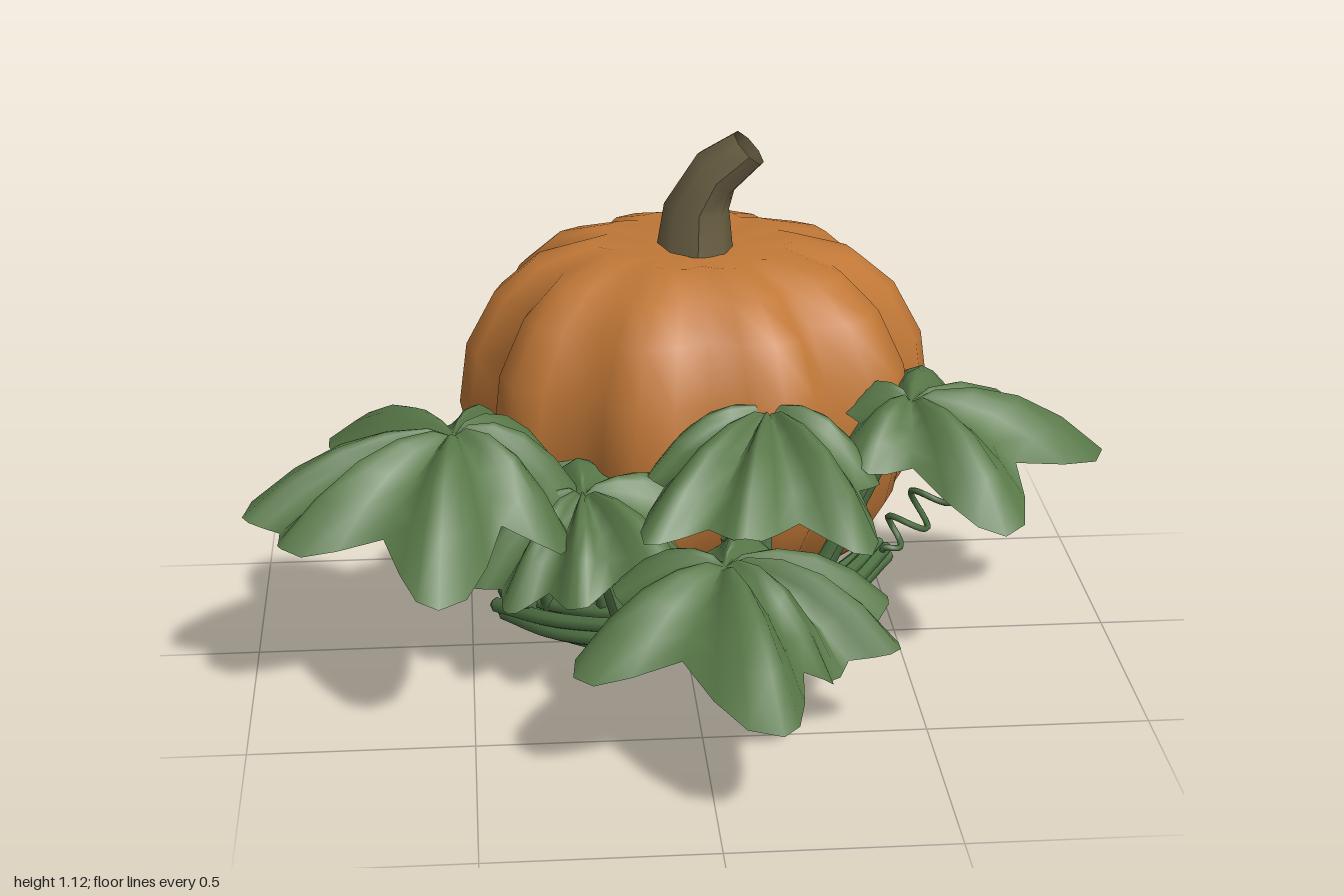
import * as THREE from 'three';
import { mergeVertices } from 'three/addons/utils/BufferGeometryUtils.js';

const V = (p) => new THREE.Vector3(...p);
const curveOf = (pts) => new THREE.CatmullRomCurve3(pts.map(V));

// Pumpkin: lathe profile squeezed into ten ribs
function pumpkinGeometry() {
  const profile = [[0, 0.02], [0.08, 0.006], [0.2, 0.008], [0.34, 0.05], [0.45, 0.13], [0.535, 0.27], [0.575, 0.45],
    [0.555, 0.6], [0.485, 0.73], [0.39, 0.81], [0.25, 0.85], [0, 0.82]];
  let g = new THREE.LatheGeometry(profile.map((p) => new THREE.Vector2(...p)), 40);
  g.deleteAttribute('uv');
  g.deleteAttribute('normal');
  const pos = g.attributes.position;
  for (let i = 0; i < pos.count; i++) {
    const x = pos.getX(i), z = pos.getZ(i);
    const rib = 0.86 + 0.14 * Math.pow(Math.abs(Math.cos(5 * Math.atan2(z, x))), 0.7);
    pos.setX(i, x * rib);
    pos.setZ(i, z * rib * 0.92);
  }
  g = mergeVertices(g, 1e-4);
  g.computeVertexNormals();
  return g;
}

// Tube whose radius changes from r0 to r1
function taperedTube(curve, r0, r1, segments, sides) {
  const g = new THREE.TubeGeometry(curve, segments, 1, sides);
  const pos = g.attributes.position, v = new THREE.Vector3();
  for (let i = 0; i < pos.count; i++) {
    const t = Math.floor(i / (sides + 1)) / segments;
    const c = curve.getPointAt(t);
    v.fromBufferAttribute(pos, i).sub(c).multiplyScalar(r0 + (r1 - r0) * t).add(c);
    pos.setXYZ(i, v.x, v.y, v.z);
  }
  g.computeVertexNormals();
  return g;
}

// Lobed, drooping leaf: rings run from the centre to an outline through the tips
function leafGeometry([cx, cy, cz], tips) {
  const polar = tips.map(([x, y, z]) => ({ a: Math.atan2(z - cz, x - cx), r: Math.hypot(x - cx, z - cz), y: y - cy }))
    .sort((p, q) => p.a - q.a);
  const steps = [0, 0.13, 0.27, 0.5, 0.73, 0.87], rings = [0.12, 0.32, 0.55, 0.78, 1];
  const spokes = [];
  polar.forEach((p, i) => {
    const q = polar[(i + 1) % polar.length];
    const gap = (q.a - p.a + Math.PI * 2) % (Math.PI * 2);
    const notch = Math.min(0.38, gap * 0.33);
    for (const t of steps) {
      const f = 1 - notch * Math.sin(Math.PI * t) ** 2.5;
      spokes.push({ a: p.a + gap * t, f, r: (p.r + (q.r - p.r) * t) * f, y: p.y + (q.y - p.y) * t, fold: Math.cos(2 * Math.PI * t) });
    }
  });
  const n = spokes.length, verts = [cx, cy - 0.015, cz], index = [];
  for (const s of rings) for (const k of spokes) {
    verts.push(cx + Math.cos(k.a) * k.r * s,
      cy + k.y * Math.pow(s, 2.2) * Math.pow(k.f, 1.3) + 0.1 * s * (1 - s * 0.85) * (k.fold + 0.15),
      cz + Math.sin(k.a) * k.r * s);
  }
  for (let j = 0; j < n; j++) {
    const k = (j + 1) % n;
    index.push(0, 1 + k, 1 + j);
    for (let i = 0; i < rings.length - 1; i++) {
      const a = 1 + i * n + j, b = 1 + i * n + k;
      index.push(a, b, b + n, a, b + n, a + n);
    }
  }
  const g = new THREE.BufferGeometry();
  g.setAttribute('position', new THREE.Float32BufferAttribute(verts, 3));
  g.setIndex(index);
  g.computeVertexNormals();
  return g;
}

// Spring-shaped tendril from a to b
function tendrilCurve(a, b, radius, turns) {
  const start = V(a), end = V(b), axis = end.clone().sub(start).normalize();
  const u = new THREE.Vector3(0, 0, 1).cross(axis).normalize(), w = axis.clone().cross(u);
  const pts = [];
  for (let i = 0; i <= turns * 8; i++) {
    const t = i / (turns * 8), ang = i * Math.PI / 4, r = radius * Math.min(1, t * 4);
    pts.push(start.clone().lerp(end, t).addScaledVector(u, Math.cos(ang) * r).addScaledVector(w, Math.sin(ang) * r));
  }
  return new THREE.CatmullRomCurve3(pts);
}

export function createModel() {
  const model = new THREE.Group();
  const material = (name, color) => {
    const m = new THREE.MeshStandardMaterial({ color, side: THREE.DoubleSide });
    m.name = name;
    return m;
  };
  const orange = material('pumpkin orange', 0xc17837);
  const brown = material('stem brown', 0x6b6044);
  const green = material('leaf green', 0x587848);
  const vineGreen = material('vine green', 0x4e7043);
  const add = (name, geometry, mat, parent = model) => {
    const mesh = new THREE.Mesh(geometry, mat);
    mesh.name = name;
    parent.add(mesh);
    return mesh;
  };
  const group = (name) => {
    const g = new THREE.Group();
    g.name = name;
    model.add(g);
    return g;
  };

  add('pumpkin', pumpkinGeometry(), orange).position.set(0.06, 0, -0.44);

  // Bent stem with an open cut end
  const stem = curveOf([[0.06, 0.835, -0.44], [0.075, 0.98, -0.435], [0.185, 1.085, -0.41]]);
  add('stem', taperedTube(stem, 0.092, 0.052, 3, 8), brown);

  // Leaves: centre, foot of the stalk, then the tips
  const leaves = group('leaves'), stalks = group('stalks');
  const addLeaf = (name, centre, foot, ...tips) => {
    add(name, leafGeometry(centre, tips), green, leaves);
    const [x, y, z] = centre;
    const bend = [foot[0] * 0.45 + x * 0.55, y * 0.6, foot[2] * 0.45 + z * 0.55];
    add('stalk', taperedTube(curveOf([foot, bend, [x, y - 0.015, z]]), 0.026, 0.016, 8, 6), vineGreen, stalks);
  };
  addLeaf('leftmostLeaf', [-0.53, 0.61, 0.14], [-0.36, 0.08, -0.02], [-1, 0.44, 0.24], [-0.91, 0.41, 0.35], [-0.57, 0.34, 0.54],
    [-0.28, 0.35, 0.27], [-0.24, 0.41, 0.1], [-0.31, 0.45, -0.05], [-0.42, 0.5, -0.12], [-0.78, 0.47, -0.18]);
  addLeaf('rightmostLeaf', [0.53, 0.59, -0.04], [0.28, 0.1, 0.02], [0.995, 0.41, -0.07], [0.93, 0.35, -0.23], [0.7, 0.36, 0.3],
    [0.65, 0.37, -0.51], [0.38, 0.48, 0.14], [0.4, 0.53, -0.14]);
  addLeaf('centreLeaf', [0.19, 0.6, 0.04], [0.16, 0.12, 0.14], [-0.12, 0.41, 0.39], [0.1, 0.43, 0.42], [0.38, 0.38, 0.42],
    [0.43, 0.44, 0.12], [-0.08, 0.46, 0.08], [0.2, 0.54, -0.06]);
  addLeaf('frontLeaf', [0.05, 0.42, 0.47], [0, 0.12, 0.18], [0.13, 0.22, 0.94], [-0.29, 0.24, 0.68], [0.27, 0.18, 0.62],
    [0.43, 0.21, 0.54], [0.42, 0.27, 0.4], [-0.17, 0.33, 0.38], [0.12, 0.38, 0.3]);
  addLeaf('innerLeaf', [-0.24, 0.45, 0.13], [-0.15, 0.1, 0.13], [-0.27, 0.26, 0.39], [-0.04, 0.3, 0.41], [0, 0.42, 0.07],
    [-0.51, 0.25, 0.22], [-0.42, 0.22, 0.32], [-0.25, 0.44, -0.04]);
  addLeaf('backLeaf', [-0.4, 0.47, -0.16], [-0.4, 0.08, -0.09], [-0.52, 0.4, -0.26], [-0.43, 0.42, -0.36], [-0.54, 0.3, 0.02],
    [-0.3, 0.36, 0.05], [-0.24, 0.45, -0.1]);

  // Short shoots leaning out of the vine
  for (let i = 0; i < 10; i++) {
    const x = -0.38 + i * 0.065, z = 0.16 - Math.abs(x) * 0.5;
    const tip = [x - 0.06, 0.27 + 0.03 * (i % 3), z + 0.06 + 0.03 * (i % 2)];
    add('shoot', taperedTube(curveOf([[x, 0.08, z], [x - 0.02, 0.17, z + 0.03], tip]), 0.016, 0.01, 5, 6), vineGreen, stalks);
  }

  // Bundle of vine strands curving round the foot of the pumpkin, wider at its left end
  const vine = group('vine');
  const path = [[-0.39, 0.07, -0.12], [-0.26, 0.08, 0.04], [-0.06, 0.1, 0.16], [0.16, 0.105, 0.14], [0.36, 0.09, -0.06], [0.5, 0.075, -0.29]];
  for (let k = 0; k < 8; k++) {
    const strand = path.map(([x, y, z], i) => {
      const p = path[Math.max(i - 1, 0)], q = path[Math.min(i + 1, 5)];
      const dx = q[0] - p[0], dz = q[2] - p[2], len = Math.hypot(dx, dz);
      const a = (k / 7) * Math.PI * 2 + i * 0.5, r = k === 7 ? 0 : 0.065 - 0.008 * i;
      const across = Math.cos(a) * r;
      return [x - dz / len * across, y + Math.sin(a) * Math.min(r, 0.036), z + dx / len * across];
    });
    add('vineStrand', taperedTube(curveOf(strand), 0.02, 0.016, 24, 6), vineGreen, vine);
    // Closed ends
    for (const p of [strand[0], strand[5]]) add('strandEnd', new THREE.SphereGeometry(0.017, 6, 4), vineGreen, vine).position.set(...p);
  }

  // Curling tendrils
  const addTendril = (a, b, radius) => {
    add('tendril', new THREE.TubeGeometry(tendrilCurve(a, b, radius, 3), 42, 0.008, 5), vineGreen);
  };
  addTendril([0.5, 0.1, -0.24], [0.67, 0.28, -0.28], 0.045);
  addTendril([0.27, 0.36, 0.1], [0.29, 0.49, 0.09], 0.075);
  return model;
}
